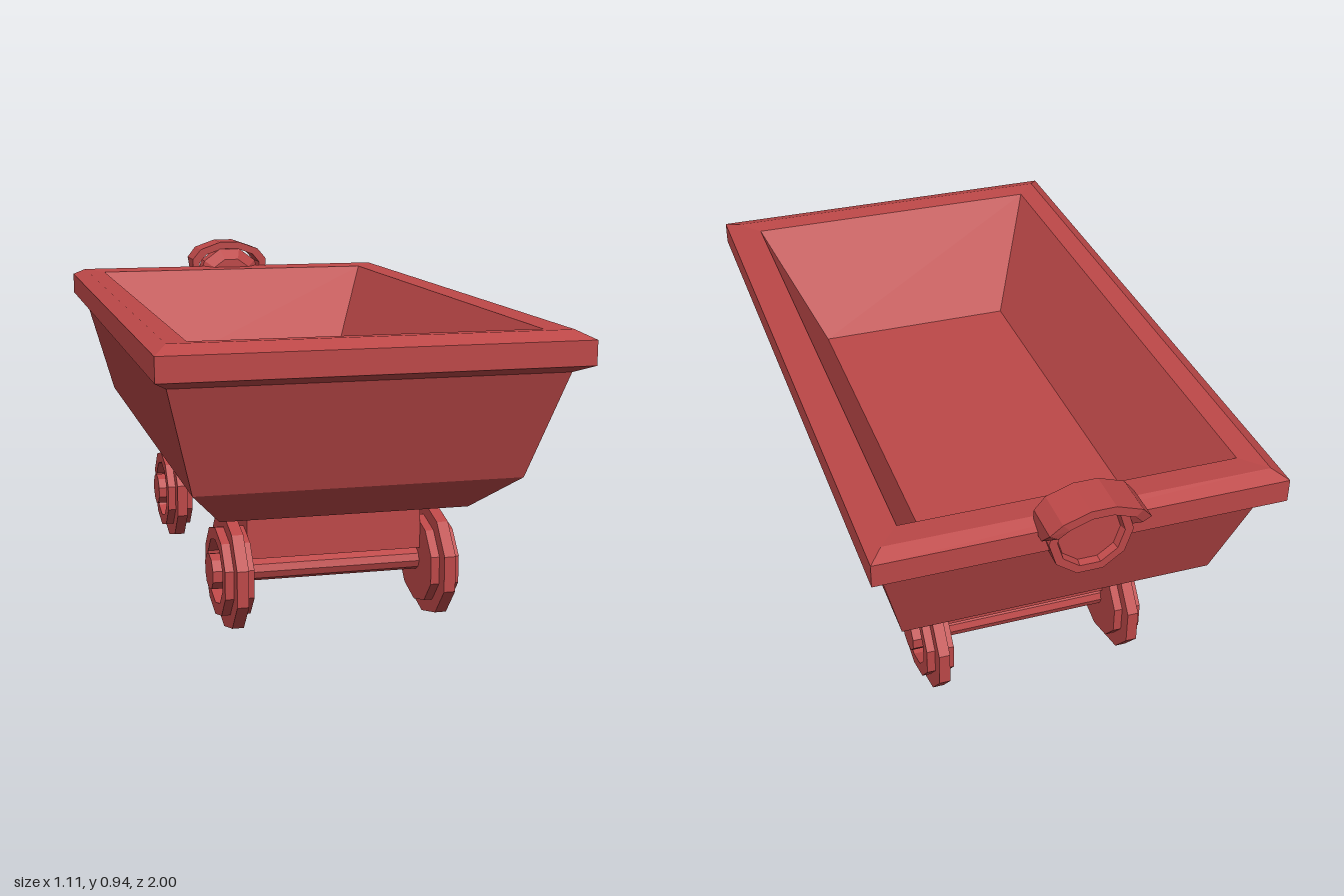
import * as THREE from 'three';

const paint = new THREE.MeshStandardMaterial({ color: 0xbd4848, flatShading: true });

// Skin a series of closed rings, with flat caps on the first and last one
function loft(rings) {
  const pos = [];
  const tri = (a, b, c) => pos.push(...a, ...b, ...c);
  const n = rings[0].length;
  for (let i = 0; i < rings.length - 1; i++) {
    for (let j = 0; j < n; j++) {
      const k = (j + 1) % n;
      const a = rings[i][j], b = rings[i][k], c = rings[i + 1][k], d = rings[i + 1][j];
      tri(a, b, c);
      tri(a, c, d);
    }
  }
  const first = rings[0], last = rings[rings.length - 1];
  for (let j = 1; j < n - 1; j++) {
    tri(first[0], first[j + 1], first[j]);
    tri(last[0], last[j], last[j + 1]);
  }
  const geo = new THREE.BufferGeometry();
  geo.setAttribute('position', new THREE.Float32BufferAttribute(pos, 3));
  geo.computeVertexNormals();
  return geo;
}

function addPart(parent, name, geo, x = 0, y = 0, z = 0) {
  const mesh = new THREE.Mesh(geo, paint);
  mesh.name = name;
  mesh.position.set(x, y, z);
  parent.add(mesh);
  return mesh;
}

// Horizontal rectangle at height y
const rect = ([y, hx, z0, z1]) => [[hx, y, z1], [hx, y, z0], [-hx, y, z0], [-hx, y, z1]];

// Tub: up the outside, over the rim and down the inside to the floor
function tubGeometry() {
  return loft([
    [0.343, 0.345, -0.585, 0.68],
    [0.455, 0.442, -0.74, 0.83],
    [0.75, 0.52, -0.845, 0.935],
    [0.775, 0.557, -0.91, 1.0],
    [0.84, 0.557, -0.91, 1.0],
    [0.86, 0.52, -0.87, 0.94],
    [0.855, 0.46, -0.795, 0.88],
    [0.545, 0.305, -0.55, 0.64],
  ].map(rect));
}

// Lamp: ten-sided body with a tapered front and a lens set into the back
const lampY = 0.812;
function lampGeometry() {
  const ring = ([r, z]) => Array.from({ length: 10 }, (_, i) => {
    const a = Math.PI * (0.1 + 0.2 * i);
    return [r * Math.sin(a), lampY + r * Math.cos(a), z];
  });
  return loft([
    [0.077, -0.84], [0.113, -0.875], [0.113, -0.935], [0.09, -0.935], [0.085, -0.915],
  ].map(ring));
}

// Hood: arched shell over the lamp, its back edge cut at a slant
function hoodGeometry() {
  const half = [[0.133, 0.83], [0.133, 0.884], [0.104, 0.919], [0.033, 0.944]];
  const arc = [...half.map(([x, y]) => [-x, y]), ...half.slice().reverse()];
  return loft(arc.map(([x, y]) => {
    const back = Math.max(-1, -0.935 - (y - 0.83));
    const ix = x * 0.82, iy = lampY + (y - lampY) * 0.82;
    return [[x, y, -0.877], [ix, iy, -0.877], [ix, iy, back], [x, y, back]];
  }));
}

// Wheel profile as [radius, distance from the car's centre line]
function wheelGeometry() {
  const profile = [
    [0, 0.248], [0.124, 0.248], [0.124, 0.272], [0.161, 0.272], [0.161, 0.304], [0.124, 0.304],
    [0.124, 0.328], [0.09, 0.328], [0.09, 0.295], [0.05, 0.295], [0.05, 0.345], [0, 0.345],
  ].map(([r, x]) => new THREE.Vector2(r, x));
  return new THREE.LatheGeometry(profile, 10, Math.PI / 2)
    .rotateZ(-Math.PI / 2)
    .scale(1, 1, 1.2);
}

export function createModel() {
  const cart = new THREE.Group();
  cart.name = 'mineCart';

  addPart(cart, 'tub', tubGeometry());
  addPart(cart, 'chassis', new THREE.BoxGeometry(0.495, 0.155, 1.04), 0, 0.2775, 0.045);
  addPart(cart, 'lamp', lampGeometry());
  addPart(cart, 'lampHood', hoodGeometry());

  // Two axles, each with a mirrored pair of flanged wheels
  const wheel = wheelGeometry();
  const axle = new THREE.CylinderGeometry(0.033, 0.033, 0.52, 10)
    .rotateZ(Math.PI / 2)
    .scale(1, 1, 1.2);
  for (const [end, z] of [['front', 0.522], ['back', -0.43]]) {
    addPart(cart, `${end}Axle`, axle, 0, 0.161, z);
    addPart(cart, `${end}LeftWheel`, wheel, 0, 0.161, z);
    addPart(cart, `${end}RightWheel`, wheel, 0, 0.161, z).rotation.y = Math.PI;
  }
  return cart;
}
